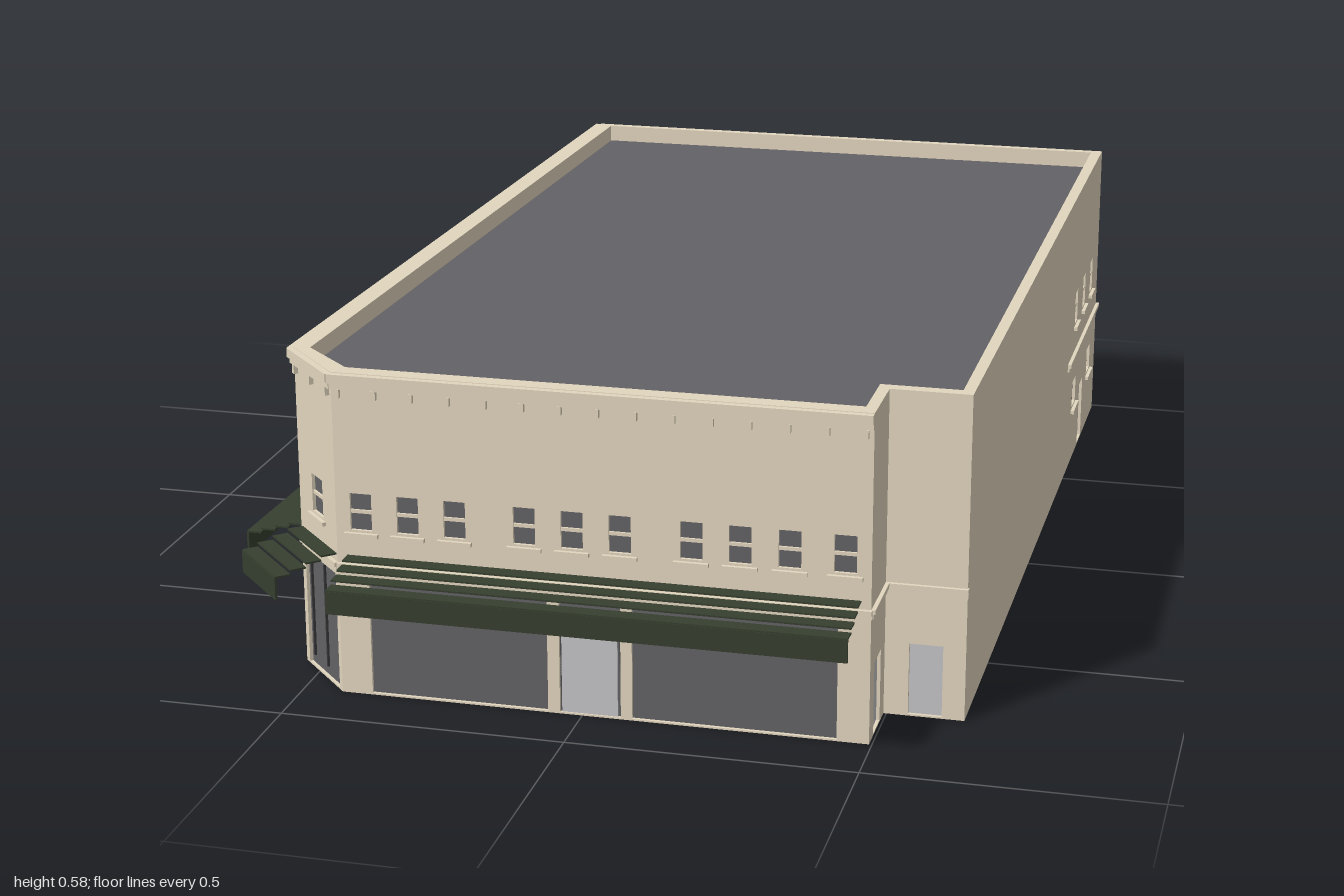
import * as THREE from 'three';

const material = (name, color) => {
  const m = new THREE.MeshStandardMaterial({ color });
  m.name = name;
  return m;
};

export function createModel() {
  const tan = material('tanWall', 0xe2d6be);
  const dark = material('darkGrey', 0x636266);
  const light = material('lightGrey', 0xc5c5c7);
  const green = material('awningGreen', 0x363f2f);
  const black = material('darkFrame', 0x3a3a3c);

  const model = new THREE.Group();
  model.name = 'cornerBuilding';
  const HEIGHT = 0.58, WALL_TOP = 0.54, T = 0.008;

  // Plan corners as (x, z), and the inner edge of the parapet
  const plan = [[-0.43, 0.888], [0.495, 0.888], [0.495, 0.757], [0.634, 0.757], [0.639, -0.989], [-0.482, -0.989], [-0.54, 0.77]];
  const inner = [[-0.415, 0.857], [0.475, 0.857], [0.475, 0.735], [0.614, 0.735], [0.617, -0.972], [-0.455, -0.972], [-0.512, 0.765]];
  const liningBack = plan.map((p, i) => p.map((v, k) => v + (inner[i][k] - v) * 0.85));
  const outline = (pts) => pts.map(([x, z]) => new THREE.Vector2(x, -z));

  function add(parent, name, geometry, mat) {
    const mesh = new THREE.Mesh(geometry, mat);
    mesh.name = name;
    parent.add(mesh);
  }

  // Box given by its limits
  function box(parent, name, mat, x0, x1, y0, y1, z0, z1) {
    const g = new THREE.BoxGeometry(x1 - x0, y1 - y0, z1 - z0);
    add(parent, name, g.translate((x0 + x1) / 2, (y0 + y1) / 2, (z0 + z1) / 2), mat);
  }

  // Upright prism over a plan outline, with an optional hole
  function prism(name, outer, hole, y0, y1, mat) {
    const shape = new THREE.Shape(outline(outer));
    if (hole) shape.holes.push(new THREE.Path(outline(hole)));
    const g = new THREE.ExtrudeGeometry(shape, { depth: y1 - y0, bevelEnabled: false });
    add(model, name, g.rotateX(-Math.PI / 2).translate(0, y0, 0), mat);
  }

  prism('parapet', plan, inner, WALL_TOP, HEIGHT, tan);
  prism('interiorLining', liningBack, inner, 0.002, WALL_TOP + 0.002, light);
  prism('ceiling', inner, null, 0.541, 0.544, light);
  prism('roof', inner, null, 0.544, 0.547, dark);

  // One facade: local x runs along the wall, local z points outward
  function facade(name, index, openings) {
    const [ax, az] = plan[index], [bx, bz] = plan[(index + 1) % plan.length];
    const length = Math.hypot(bx - ax, bz - az);
    const group = new THREE.Group();
    group.name = name;
    group.position.set(ax, 0, az);
    group.rotation.y = Math.atan2(az - bz, bx - ax);
    model.add(group);

    const rect = (Kind, x0, x1, y0, y1) => new Kind([[x0, y0], [x1, y0], [x1, y1], [x0, y1]].map((p) => new THREE.Vector2(...p)));
    const shape = rect(THREE.Shape, 0, length, 0, WALL_TOP);
    for (const o of openings) shape.holes.push(rect(THREE.Path, o.x0, o.x1, o.y0, o.y1));
    const g = new THREE.ExtrudeGeometry(shape, { depth: T, bevelEnabled: false });
    add(group, name + 'Wall', g.translate(0, 0, -T), tan);

    for (const o of openings) {
      box(group, o.kind + 'Panel', o.kind === 'door' ? light : dark, o.x0, o.x1, o.y0, o.y1, -0.012, -0.006);
      if (o.kind === 'sashWindow') {
        // Bar between the two panes
        const mid = (o.y0 + o.y1) / 2;
        box(group, 'sashBar', tan, o.x0, o.x1, mid - 0.003, mid + 0.003, -0.007, -0.002);
      }
      if (o.kind.endsWith('Window')) {
        box(group, 'sill', tan, o.x0 - 0.011, o.x1 + 0.011, o.y0 - 0.011, o.y0 - 0.004, -0.002, 0.007);
      }
      if (o.kind === 'entrance') {
        // Door leaf below a dark transom, with jambs reaching inside
        box(group, 'doorLeaf', light, o.x0 + 0.003, o.x1 - 0.006, o.y0, 0.145, -0.007, -0.003);
        for (const x of [o.x0, o.x1]) box(group, 'jamb', black, x - 0.003, x + 0.003, 0.004, 0.15, -0.065, -0.006);
      }
    }
    return { group, length };
  }

  const opening = (kind, x0, x1, y0, y1) => ({ kind, x0, x1, y0, y1 });
  const upper = (x) => opening('sashWindow', x - 0.019, x + 0.019, 0.301, 0.367);
  const lower = (x) => opening('lowWindow', x - 0.027, x + 0.027, 0.12, 0.174);
  const door = (x) => opening('door', x - 0.029, x + 0.029, 0.003, 0.132);

  const frontX = [-0.385, -0.302, -0.219, -0.097, -0.014, 0.069, 0.191, 0.274, 0.358, 0.451];
  const front = facade('front', 0, [
    ...frontX.map((x) => upper(x + 0.43)),
    opening('storefront', 0.055, 0.37, 0.003, 0.215),
    opening('entrance', 0.391, 0.498, 0.003, 0.205),
    opening('storefront', 0.518, 0.87, 0.003, 0.215),
  ]);
  const notchSide = facade('notchSide', 1, [door(0.066)]);
  const notchFront = facade('notchFront', 2, [door(0.071)]);
  const side = facade('plainSide', 3, [...[1.387, 1.512, 1.632].map(upper), lower(1.392), lower(1.632), door(1.512)]);
  const columns = [0, 1, 2, 3, 4, 5, 6].map((i) => 0.118 + i * 0.146);
  const back = facade('back', 4, [...columns.map(upper), ...columns.map((x, i) => (i === 3 ? door(x) : lower(x)))]);
  const street = facade('streetSide', 5, [
    ...[0.385, 0.785, 1.44, 1.57].map(upper),
    opening('entrance', 1.06, 1.16, 0.003, 0.205),
    opening('storefront', 1.225, 1.7, 0.003, 0.215),
  ]);
  const corner = facade('cornerFace', 6, [
    opening('sashWindow', 0.058, 0.104, 0.301, 0.369),
    opening('cornerGlass', 0.014, 0.149, 0.003, 0.215),
  ]);

  // Corner door bars and the back of the side entrance
  for (const x of [0.031, 0.09]) box(corner.group, 'doorBar', black, x - 0.0018, x + 0.0018, 0.02, 0.21, -0.007, -0.002);
  box(street.group, 'entranceBack', black, 1.06, 1.16, 0.004, 0.15, -0.065, -0.06);

  // Belt course above the ground floor
  for (const [f, start] of [[front, 0], [notchSide, 0], [notchFront, 0], [side, 1.277], [back, 0], [street, 0], [corner, 0]]) {
    box(f.group, 'beltCourse', tan, start, f.length + 0.002, 0.224, 0.232, -0.004, 0.004);
    box(f.group, 'beltCourseCap', tan, start, f.length + 0.002, 0.232, 0.24, -0.004, 0.007);
  }

  // Cornice with brackets on the street faces, mitred at the corner face
  for (const [f, startGap, endGap] of [[front, 0.004, 0], [street, 0, 0.004], [corner, 0.004, 0.004]]) {
    const end = f.length + endGap;
    box(f.group, 'corniceTop', tan, -startGap, end, 0.563, 0.579, -0.004, 0.012);
    box(f.group, 'corniceStep', tan, -startGap, end, 0.552, 0.563, -0.004, 0.007);
    const gaps = Math.round((f.length - 0.024) / 0.0645);
    for (let i = 0; i <= gaps; i++) {
      const x = 0.012 + (i * (f.length - 0.024)) / gaps;
      box(f.group, 'corniceBracket', tan, x - 0.004, x + 0.004, 0.537, 0.553, -0.002, 0.008);
    }
  }

  // Stepped slat awnings with a hanging valance
  function awning(f, x0, x1, depth) {
    const group = new THREE.Group();
    group.name = 'awning';
    f.group.add(group);
    const step = depth / 4;
    for (let i = 0; i < 4; i++) {
      const y = 0.255 - i * 0.0075;
      box(group, 'awningSlat', green, x0, x1, y - 0.003, y, i * step, (i + 1) * step);
    }
    box(group, 'valance', green, x0, x1, 0.19, 0.23, depth - 0.003, depth + 0.001);
  }
  awning(front, 0.018, 0.908, 0.111);
  awning(street, 1.228, 1.757, 0.105);
  awning(corner, 0.006, 0.157, 0.113);

  return model;
}
